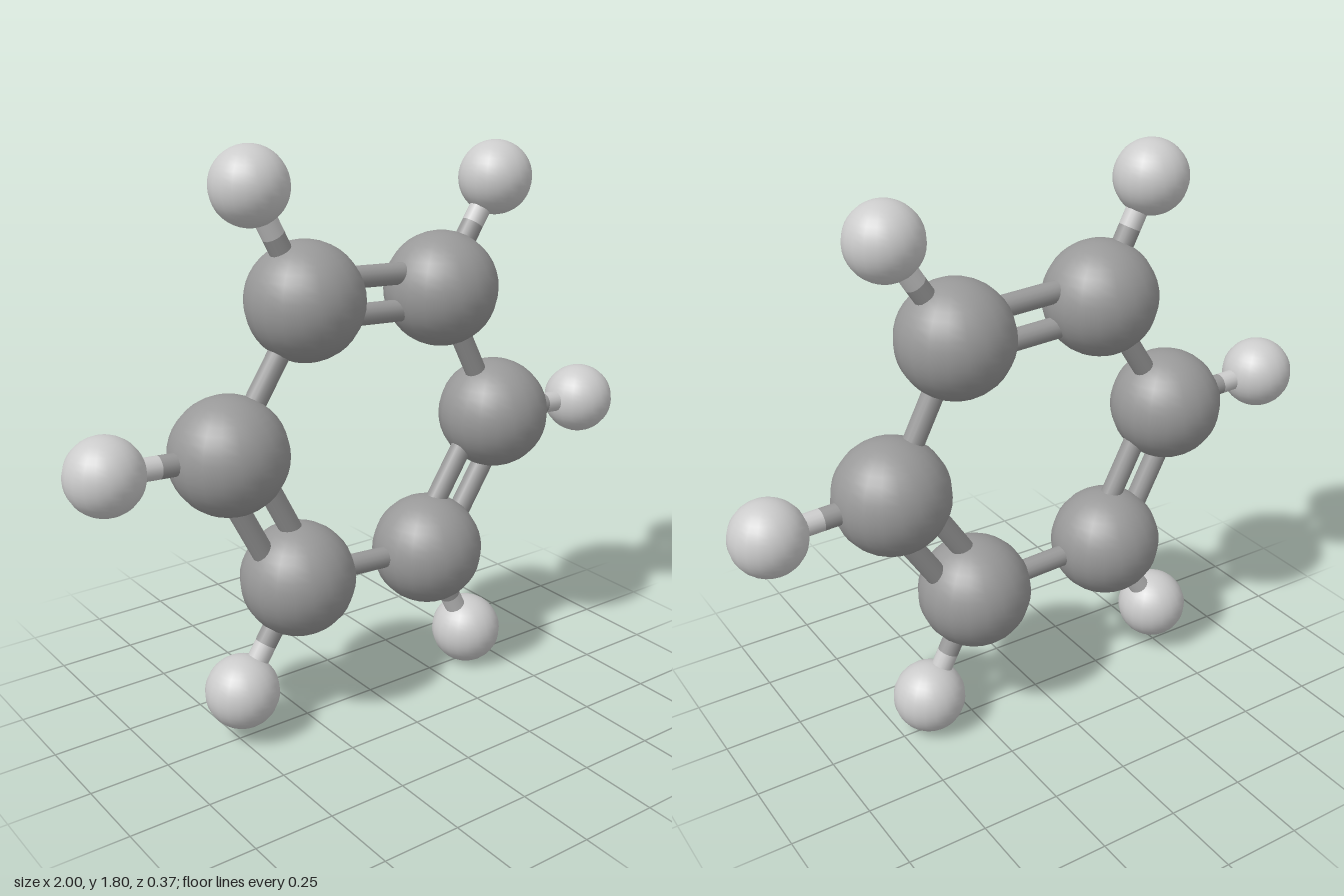
import * as THREE from 'three';

const CORE_R = 0.179, TIP_R = 0.115, ROD_R = 0.034, PAIR_GAP = 0.057;

// ring positions [x, y], clockwise from upper left, each with its outer tip
const CORES = [[-0.23, 1.353], [0.27, 1.326], [0.495, 0.882], [0.225, 0.465], [-0.275, 0.492], [-0.5, 0.936]];
const TIPS = [[-0.404, 1.698], [0.479, 1.65], [0.88, 0.861], [0.398, 0.123], [-0.484, 0.168], [-0.885, 0.957]];

// the ring plane leans very slightly
const place = ([x, y]) => new THREE.Vector3(x, y, 0.0125 * x - 0.006 * (y - 0.91));

export function createModel() {
  const model = new THREE.Group();
  const dark = new THREE.MeshStandardMaterial({ color: 0x999999 });
  const light = new THREE.MeshStandardMaterial({ color: 0xcccccc });
  const up = new THREE.Vector3(0, 1, 0);
  const normal = new THREE.Vector3(-0.0125, 0.006, 1).normalize();

  function ball(name, position, radius, material) {
    const mesh = new THREE.Mesh(new THREE.SphereGeometry(radius, 20, 20), material);
    mesh.name = name;
    mesh.position.copy(position);
    model.add(mesh);
  }

  function rod(name, a, b, material) {
    const mesh = new THREE.Mesh(new THREE.CylinderGeometry(ROD_R, ROD_R, a.distanceTo(b), 16), material);
    mesh.name = name;
    mesh.position.lerpVectors(a, b, 0.5);
    mesh.quaternion.setFromUnitVectors(up, b.clone().sub(a).normalize());
    model.add(mesh);
  }

  const cores = CORES.map(place);
  const tips = TIPS.map(place);

  cores.forEach((core, i) => {
    const tip = tips[i], next = cores[(i + 1) % 6];
    ball('ringAtom', core, CORE_R, dark);
    ball('outerAtom', tip, TIP_R, light);

    // outer bond, changing shade halfway along its exposed length
    const dir = tip.clone().sub(core);
    const length = dir.length();
    const middle = core.clone().addScaledVector(dir, (length + CORE_R - TIP_R) / 2 / length);
    rod('outerBondInnerHalf', core, middle, dark);
    rod('outerBondOuterHalf', middle, tip, light);

    // ring bonds alternate between double and single
    const side = next.clone().sub(core).cross(normal).normalize();
    const offsets = i % 2 === 0 ? [-PAIR_GAP, PAIR_GAP] : [0];
    for (const d of offsets) {
      rod(offsets.length === 2 ? 'doubleBondRod' : 'singleBondRod',
        core.clone().addScaledVector(side, d), next.clone().addScaledVector(side, d), dark);
    }
  });

  return model;
}
